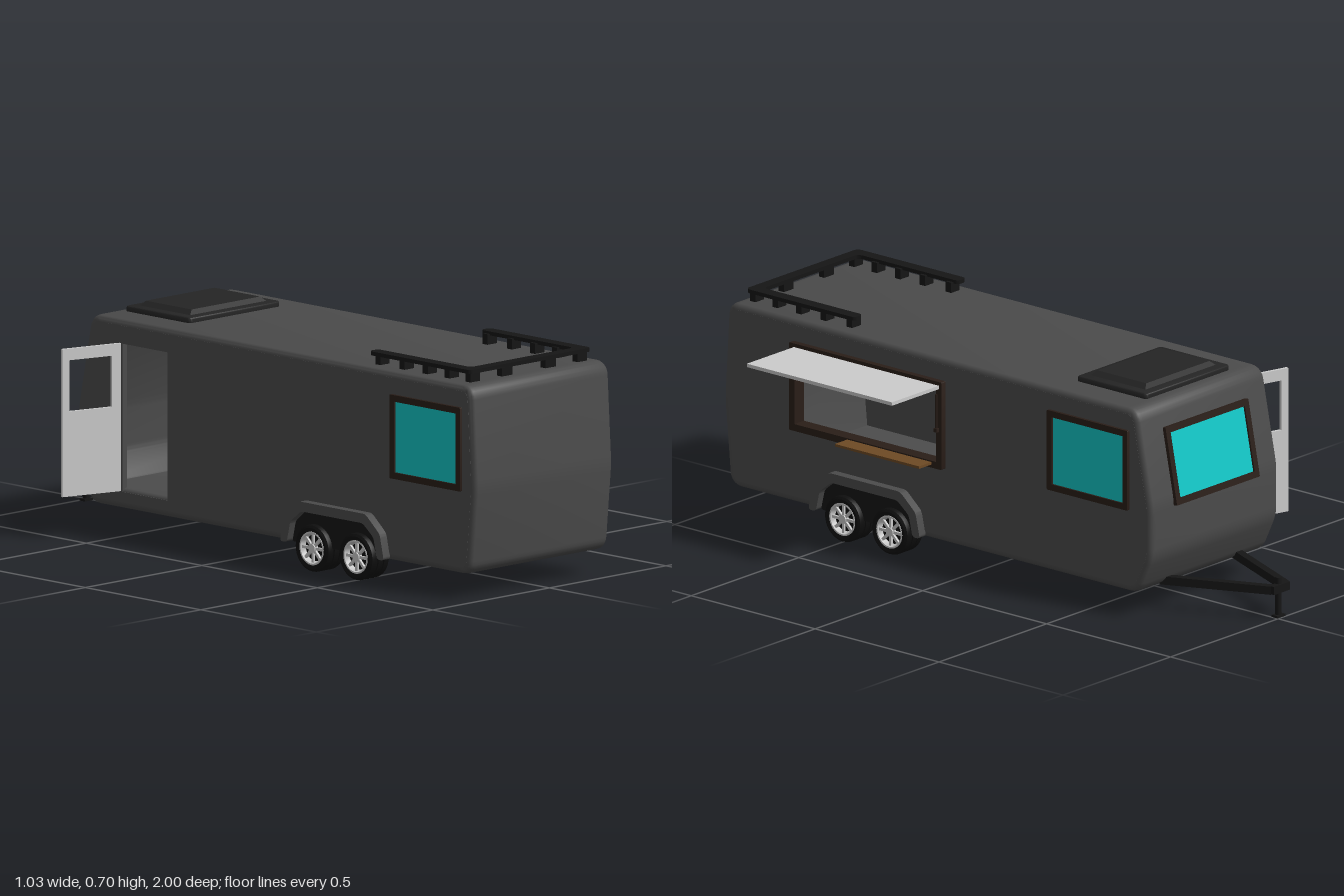
import * as THREE from 'three';
import { toCreasedNormals } from 'three/addons/utils/BufferGeometryUtils.js';

const mat = (color, side = THREE.FrontSide) => new THREE.MeshStandardMaterial({ color, side });
const BODY = mat(0x4b4b4b), BLACK = mat(0x151515), TYRE = mat(0x0e0e0e), TRIM = mat(0x2a1e18),
  GLASS = mat(0x12c8c8), WOOD = mat(0x6e4a24), GREY = mat(0xcccccc), VENT = mat(0x242424);
const CX = -0.019; // centre line of the body

function add(parent, name, geo, material, x = 0, y = 0, z = 0) {
  const m = new THREE.Mesh(geo, material);
  m.name = name;
  m.position.set(x, y, z);
  parent.add(m);
  return m;
}
const box = (w, h, d) => new THREE.BoxGeometry(w, h, d);

// Closed outline with every corner rounded by r
function outline(pts, r, Type = THREE.Shape) {
  const s = new Type(), n = pts.length;
  const v = pts.map(p => new THREE.Vector2(p[0], p[1]));
  const toward = (a, b) => a.clone().add(b.clone().sub(a).setLength(Math.min(r, a.distanceTo(b) / 2)));
  v.forEach((p, i) => {
    const a = toward(p, v[(i + n - 1) % n]), b = toward(p, v[(i + 1) % n]);
    if (i) s.lineTo(a.x, a.y); else s.moveTo(a.x, a.y);
    if (r) s.quadraticCurveTo(p.x, p.y, b.x, b.y);
  });
  s.closePath();
  return s;
}
const rect = (x0, x1, y0, y1) => [[x0, y0], [x1, y0], [x1, y1], [x0, y1]];
const sideways = pts => pts.map(([z, y]) => [-z, y]);

function extrude(shape, depth, bevel = 0) {
  const g = new THREE.ExtrudeGeometry(shape, {
    depth, bevelEnabled: bevel > 0, bevelSize: bevel, bevelThickness: bevel, bevelSegments: 4, curveSegments: 5,
  });
  return toCreasedNormals(g, 0.6);
}
// Outline given as [z, y], extruded along +x
function extrudeX(pts, r, depth, holes = [], bevel = 0, holeR = 0) {
  const s = outline(sideways(pts), r);
  holes.forEach(h => s.holes.push(outline(sideways(h), holeR, THREE.Path)));
  return extrude(s, depth, bevel).rotateY(Math.PI / 2);
}

// Framed pane lying in the local xy plane
function frame(w, h, b, depth) {
  const s = outline(rect(-w / 2, w / 2, -h / 2, h / 2), 0.004);
  s.holes.push(outline(rect(-w / 2 + b, w / 2 - b, -h / 2 + b, h / 2 - b), 0, THREE.Path));
  return extrude(s, depth).translate(0, 0, -depth / 2);
}
function windowUnit(name, w, h) {
  const g = new THREE.Group();
  g.name = name;
  add(g, 'windowFrame', frame(w, h, 0.02, 0.034), TRIM);
  add(g, 'windowGlass', box(w - 0.04, h - 0.04, 0.022), GLASS);
  return g;
}

function wheel(side) {
  const g = new THREE.Group();
  g.name = 'wheel';
  // Tyre with two tread grooves
  const half = [[0.05, 0.036], [0.064, 0.04], [0.071, 0.035], [0.073, 0.028], [0.073, 0.015], [0.069, 0.014], [0.069, 0.011], [0.073, 0.01]];
  const pts = [...half.map(([r, y]) => [r, -y]), ...half.slice().reverse()];
  const lathe = (p, n) => toCreasedNormals(new THREE.LatheGeometry(p.map(q => new THREE.Vector2(q[0], q[1])), n), 0.6).rotateZ(-Math.PI / 2);
  add(g, 'tyre', lathe(pts, 36), TYRE);
  add(g, 'wheelBack', new THREE.CylinderGeometry(0.05, 0.05, 0.05, 32).rotateZ(Math.PI / 2), TYRE, -0.004 * side);
  // Rim, hub and spokes on the outer face
  const rim = new THREE.Group();
  rim.name = 'rim';
  rim.position.x = side * 0.03;
  g.add(rim);
  add(rim, 'rimRing', lathe([[0.041, -0.01], [0.052, -0.01], [0.052, 0.008], [0.047, 0.008], [0.041, -0.002], [0.041, -0.01]], 32), GREY).scale.x = side;
  if (side < 0) rim.children[0].rotation.y = Math.PI, rim.children[0].scale.x = 1;
  add(rim, 'hub', new THREE.CylinderGeometry(0.014, 0.014, 0.016, 16).rotateZ(Math.PI / 2), GREY);
  for (let i = 0; i < 8; i++) {
    const a = i * Math.PI / 4;
    const s = add(rim, 'spoke', box(0.008, 0.034, 0.009), GREY, 0, 0.028 * Math.cos(a), 0.028 * Math.sin(a));
    s.rotation.x = a;
  }
  return g;
}

export function createModel() {
  const model = new THREE.Group();
  model.name = 'foodTrailer';

  // Hollow body: roof, floor and ends as one loop, then two side walls with openings
  const profile = [[0.963, 0.645], [0.98, 0.35], [0.957, 0.097], [-0.66, 0.097], [-0.71, 0.205], [-0.71, 0.36], [-0.653, 0.645]];
  const inner = profile.map(([z, y]) => [0.135 + (z - 0.135) * 0.97, 0.37 + (y - 0.37) * 0.91]);
  add(model, 'bodyShell', extrudeX(profile, 0.025, 0.552, [inner], 0.02, 0.02), BODY, -0.295);
  const hatch = rect(0.12, 0.7, 0.33, 0.575);
  const rearWindow = rect(-0.62, -0.335, 0.36, 0.575);
  const doorway = rect(-0.53, -0.335, 0.13, 0.59);
  const frontWindow = rect(0.655, 0.92, 0.355, 0.575);
  add(model, 'rightWall', extrudeX(profile, 0.025, 0.02, [hatch, rearWindow]), BODY, 0.2575);
  add(model, 'leftWall', extrudeX(profile, 0.025, 0.02, [doorway, frontWindow]), BODY, -0.3155);

  // Windows
  const w1 = windowUnit('rearSideWindow', 0.325, 0.255);
  w1.rotation.y = Math.PI / 2;
  w1.position.set(0.27, 0.467, -0.478);
  const w2 = windowUnit('frontSideWindow', 0.305, 0.26);
  w2.rotation.y = Math.PI / 2;
  w2.position.set(-0.308, 0.465, 0.788);
  const w3 = windowUnit('rearWindow', 0.385, 0.245);
  w3.rotation.x = 0.194;
  w3.position.set(CX, 0.467, -0.703);
  model.add(w1, w2, w3);

  // Serving hatch: frame, raised flap, counter and latch rod
  add(model, 'hatchFrame', frame(0.615, 0.28, 0.022, 0.045).rotateY(Math.PI / 2), TRIM, 0.275, 0.455, 0.408);
  add(model, 'hatchFlap', box(0.222, 0.011, 0.585), GREY, 0.405, 0.578, 0.403);
  add(model, 'counter', box(0.075, 0.008, 0.34), WOOD, 0.318, 0.329, 0.31);
  add(model, 'latchRod', box(0.005, 0.12, 0.006), TRIM, 0.305, 0.497, 0.115);
  add(model, 'latchKnob', box(0.014, 0.012, 0.012), TRIM, 0.303, 0.442, 0.115);

  // Open door with a window hole, swung out past square
  const leaf = outline(rect(0, 0.203, 0.133, 0.592), 0);
  leaf.holes.push(outline(rect(0.03, 0.178, 0.397, 0.556), 0, THREE.Path));
  add(model, 'door', extrude(leaf, 0.01), GREY, -0.322, 0, -0.53).rotation.y = Math.PI - 0.274;

  // Fenders, wheel wells and twin wheels on each side
  const arch = [[0.63, 0.08], [0.612, 0.16], [0.55, 0.214], [0.26, 0.214], [0.198, 0.16], [0.18, 0.08]];
  const archIn = [[0.21, 0.08], [0.225, 0.146], [0.272, 0.184], [0.538, 0.184], [0.585, 0.146], [0.6, 0.08]];
  for (const side of [1, -1]) {
    const x = CX + side * 0.31;
    add(model, 'fender', extrudeX([...arch, ...archIn], 0.012, 0.03), BODY, x - 0.015);
    add(model, 'wheelWell', extrudeX(archIn, 0.01, 0.008), BLACK, CX + side * 0.296 - 0.004);
    for (const z of [0.5, 0.31]) {
      const w = wheel(side);
      w.position.set(CX + side * 0.28, 0.073, z);
      model.add(w);
    }
  }

  // Roof rack: U-shaped rail on short posts
  const U = [[-0.28, 0.5], [-0.28, 0.94], [0.24, 0.94], [0.24, 0.5], [0.2, 0.5], [0.2, 0.902], [-0.24, 0.902], [-0.24, 0.5]];
  add(model, 'roofRail', extrude(outline(U, 0.018), 0.012).rotateX(Math.PI / 2), BLACK, 0, 0.705);
  for (const x of [-0.25, 0.21])
    for (const z of [0.53, 0.635, 0.735, 0.83, 0.92]) add(model, 'railPost', box(0.04, 0.035, 0.022), BLACK, x, 0.68, z);
  for (const x of [-0.112, 0.075]) add(model, 'railPost', box(0.045, 0.035, 0.022), BLACK, x, 0.68, 0.92);

  // Roof vent: flat base with a raised bevelled lid
  const vent = new THREE.Group();
  vent.name = 'roofVent';
  vent.position.set(CX, 0, -0.48);
  model.add(vent);
  const slab = (w, d, h, b) => extrude(outline(rect(-w / 2 + b, w / 2 - b, -d / 2 + b, d / 2 - b), 0.006), h, b).rotateX(-Math.PI / 2);
  add(vent, 'ventBase', slab(0.39, 0.28, 0.012, 0.006), VENT, 0, 0.664);
  const lid = new THREE.CylinderGeometry(0.62, Math.SQRT1_2, 0.018, 4, 1).rotateY(Math.PI / 4).toNonIndexed();
  lid.computeVertexNormals();
  add(vent, 'ventLid', lid.scale(0.335, 1, 0.225), VENT, 0, 0.687);

  // Drawbar: A-frame, end plate and jack stand
  for (const side of [1, -1]) {
    const a = new THREE.Vector2(CX + side * 0.173, -0.66), b = new THREE.Vector2(CX + side * 0.03, -0.985);
    const bar = add(model, 'drawbarArm', box(0.025, 0.026, a.distanceTo(b)), BLACK, (a.x + b.x) / 2, 0.093, (a.y + b.y) / 2);
    bar.rotation.y = Math.atan2(a.x - b.x, a.y - b.y);
  }
  add(model, 'drawbarEnd', box(0.075, 0.026, 0.022), BLACK, CX, 0.093, -0.989);
  add(model, 'jackPost', new THREE.CylinderGeometry(0.01, 0.01, 0.12, 14), BLACK, CX, 0.066, -0.985);
  add(model, 'jackFoot', box(0.036, 0.007, 0.024), BLACK, CX, 0.0035, -0.985);
  return model;
}
